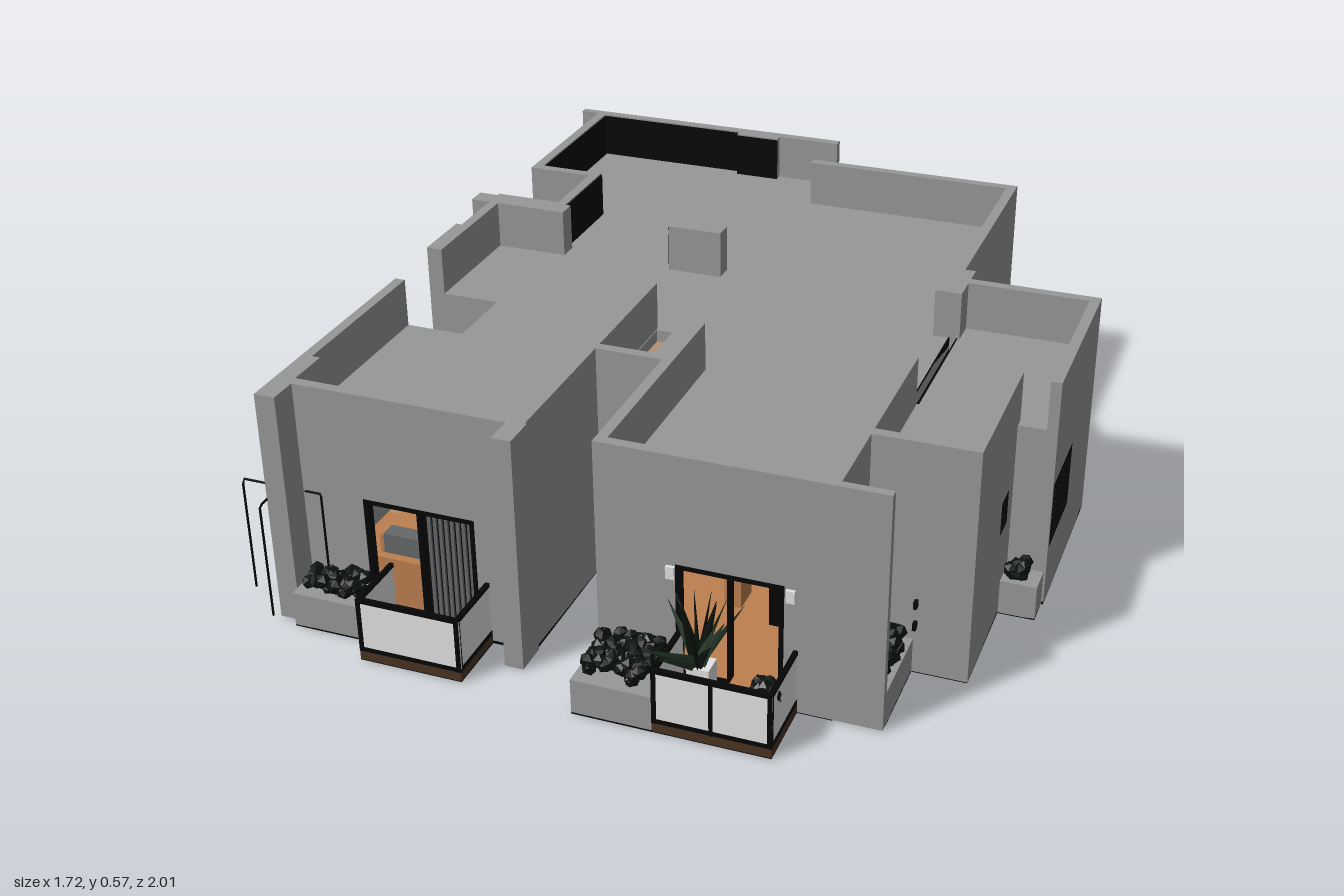
import * as THREE from 'three';

const mat = (name, color, extra = {}) => {
  const m = new THREE.MeshStandardMaterial({ color, ...extra });
  m.name = name;
  return m;
};

export function createModel() {
  const root = new THREE.Group();
  root.name = 'house';
  const grey = mat('greyRender', 0x979998);
  const black = mat('black', 0x060606);
  const wood = mat('warmWood', 0xbd8050);
  const beige = mat('beige', 0xd0ab8a);
  const brown = mat('darkBrown', 0x4a3423);
  const redBrown = mat('redBrown', 0x603a1c);
  const white = mat('offWhite', 0xe4e4e6);
  const green = mat('darkFoliage', 0x0b120d, { flatShading: true });
  const leafGreen = mat('leafGreen', 0x2a3b2c, { flatShading: true });
  const slat = mat('slatGrey', 0x66686a);

  const H = 0.57, ROOF = 0.45, T = 0.025;
  let seed = 7;
  const rnd = () => (seed = (seed * 16807) % 2147483647) / 2147483647;

  const add = (name, geo, m, parent = root) => {
    const mesh = new THREE.Mesh(geo, m);
    mesh.name = name;
    parent.add(mesh);
    return mesh;
  };
  // box given by its limits
  const box = (name, m, x0, x1, y0, y1, z0, z1, parent = root) => {
    const b = add(name, new THREE.BoxGeometry(x1 - x0, y1 - y0, z1 - z0), m, parent);
    b.position.set((x0 + x1) / 2, (y0 + y1) / 2, (z0 + z1) / 2);
    return b;
  };

  // outline corners, each with the wall that starts there: [x, z, height, openings]
  // opening: [from, to, bottom, top, style] measured along world x or z
  const plan = [
    [-0.76, -1, H, [[-0.58, -0.4, 0.15, 0.31, 'blind'], [-0.19, -0.13, 0.23, 0.31, 'small']]],
    [-0.03, -1, ROOF], [-0.03, -0.84, H, [[0.07, 0.39, 0.15, 0.31, 'window']]],
    [0.514, -0.84, H, [[-0.43, -0.27, 0.02, 0.33, 'door']]],
    [0.514, -0.22, H], [0.855, -0.22, H, [[0.03, 0.23, 0.15, 0.31, 'fullBlind']]],
    [0.855, 0.24, ROOF], [0.765, 0.24, H, [[0.29, 0.35, 0.23, 0.31, 'small']]],
    [0.765, 0.595, H], [0.53, 0.595, H, [[0.64, 0.71, 0.15, 0.31, 'small']]],
    [0.53, 0.82, H, [[0.18, 0.42, 0.02, 0.31, 'window']]],
    [0, 0.82, H], [0, 0.43, H, [[-0.145, -0.01, 0.15, 0.31, 'window']]],
    [-0.16, 0.43, H], [-0.16, 0.81, H, [[-0.56, -0.29, 0.02, 0.31, 'blind']]],
    [-0.76, 0.81, H, [[0.42, 0.64, 0.15, 0.31, 'window']]],
    [-0.76, 0.25, ROOF], [-0.59, 0.25, ROOF], [-0.59, 0.06, ROOF],
    [-0.76, 0.06, H], [-0.76, -0.32, H], [-0.59, -0.32, H], [-0.59, -0.52, H],
    [-0.76, -0.52, H, [[-0.84, -0.63, 0.15, 0.31, 'window']]],
  ];

  // frame, mullions and slats in the wall's own axes
  const frame = (parent, u0, u1, y0, y1, style) => {
    const g = new THREE.Group();
    const door = style === 'door';
    g.name = door ? 'entranceDoor' : 'window';
    parent.add(g);
    const m = door ? redBrown : black, w = door ? 0.014 : 0.011;
    box('frameSide', m, u0, u0 + w, y0, y1, -0.001, 0.02, g);
    box('frameSide', m, u1 - w, u1, y0, y1, -0.001, 0.02, g);
    box('frameTop', m, u0, u1, y1 - w, y1, -0.001, 0.02, g);
    box('frameBottom', m, u0, u1, y0, y0 + w, -0.001, 0.02, g);
    const c = (u0 + u1) / 2;
    if (!door && style !== 'small') box('mullion', black, c - 0.005, c + 0.005, y0, y1, 0, 0.016, g);
    if (style === 'blind' || style === 'fullBlind') {
      const end = style === 'blind' ? c : u1;
      box('blindBacking', black, u0 + 0.01, end, y0 + 0.01, y1 - 0.01, 0.019, 0.024, g);
      for (let u = u0 + 0.016; u < end - 0.012; u += 0.014) box('slat', slat, u, u + 0.008, y0 + 0.01, y1 - 0.01, 0.012, 0.018, g);
    }
  };

  // outer walls
  plan.forEach(([x, z, h, openings = []], i) => {
    const n = plan.length, [px, pz] = plan[(i + n - 1) % n], [qx, qz] = plan[(i + 1) % n];
    const dx = qx - x, dz = qz - z, len = Math.hypot(dx, dz);
    const start = (x - px) * dz - (z - pz) * dx < -1e-6 ? -T : 0;
    const s = new THREE.Shape([[start, 0], [len, 0], [len, h], [start, h]].map(p => new THREE.Vector2(...p)));
    const g = new THREE.Group();
    g.name = 'outerWall';
    g.position.set(x, 0, z);
    g.rotation.y = -Math.atan2(dz, dx);
    root.add(g);
    for (const [a, b, y0, y1, style] of openings) {
      const o = Math.abs(dx) > Math.abs(dz) ? x : z;
      const u0 = Math.min(Math.abs(a - o), Math.abs(b - o)), u1 = u0 + b - a;
      s.holes.push(new THREE.Path([[u0, y0], [u0, y1], [u1, y1], [u1, y0]].map(p => new THREE.Vector2(...p))));
      frame(g, u0, u1, y0, y1, style);
    }
    add('wallPanel', new THREE.ExtrudeGeometry(s, { depth: T, bevelEnabled: false }), grey, g);
  });

  // underside and roof slabs cut from the outline
  const slab = (name, m, pts, top, depth, holes) => {
    const s = new THREE.Shape(pts.map(p => new THREE.Vector2(p[0], p[1])));
    for (const [x0, x1, z0, z1] of holes)
      s.holes.push(new THREE.Path([[x0, z0], [x0, z1], [x1, z1], [x1, z0]].map(p => new THREE.Vector2(...p))));
    const geo = new THREE.ExtrudeGeometry(s, { depth, bevelEnabled: false }).rotateX(Math.PI / 2);
    add(name, geo, m).position.y = top;
  };
  const shaft = [-0.158, -0.118, 0.07, 0.22];
  slab('underside', black, plan.filter(p => p[0] !== -0.59), 0.006, 0.008, [shaft]);
  slab('roof', grey, plan, ROOF, 0.03, [shaft, [0.516, 0.532, -0.13, 0.22]]);
  box('thresholdStrip', wood, 0.512, 0.53, -0.003, 0.004, -0.13, 0.22);
  for (const x of [0.513, 0.532]) box('slotLining', black, x, x + 0.003, 0.2, 0.452, -0.13, 0.22);

  // wooden floors
  for (const [x0, x1, z0, z1] of [
    [-0.755, -0.165, -0.99, 0.8], [-0.165, -0.11, -0.99, 0.065], [-0.11, -0.035, -0.99, 0.425],
    [-0.165, -0.11, 0.225, 0.425], [-0.035, 0.005, -0.83, 0.425], [0.005, 0.505, -0.83, 0.815],
    [0.505, 0.845, -0.21, 0.235], [0.505, 0.755, 0.235, 0.585],
  ]) box('woodFloor', wood, x0, x1, 0.006, 0.018, z0, z1);

  // fins, piers and inner parapets
  for (const [x0, x1, y0, z0, z1] of [
    [-0.2, -0.155, 0, 0.8, 0.88], [-0.76, -0.71, 0, 0.8, 0.88], [-0.185, -0.16, ROOF, 0.06, 0.81],
    [0.52, 0.64, 0, 0.8, 0.82], [-0.81, -0.76, 0, -1, -0.98], [-0.81, -0.755, 0, -0.31, -0.26],
    [-0.765, -0.55, ROOF, -0.31, -0.26], [-0.26, -0.12, ROOF, -0.32, -0.27], [0.475, 0.54, ROOF, -0.22, -0.13],
    [0.475, 0.51, ROOF, -0.27, -0.22], [0.505, 0.54, 0, -0.268, -0.22], [0.475, 0.53, ROOF, 0.71, 0.82],
    [0.505, 0.53, ROOF, 0.225, 0.6], [0, 0.025, ROOF, 0.225, 0.45], [-0.32, -0.2, ROOF, -0.99, -0.955],
    [-0.75, -0.715, ROOF, 0.68, 0.8], [-0.775, -0.755, 0, -0.1, 0.06],
  ]) box('pier', grey, x0, x1, y0, H, z0, z1);

  // black waterproofing on the rear parapets
  for (const [x0, x1, z0, z1] of [
    [-0.735, -0.32, -0.976, -0.973], [-0.32, -0.2, -0.956, -0.953], [-0.736, -0.733, -0.97, -0.55],
    [-0.566, -0.563, -0.545, -0.32], [-0.735, -0.563, -0.548, -0.544], [-0.262, -0.259, -0.318, -0.272],
  ]) box('parapetLining', black, x0, x1, ROOF, H - 0.004, z0, z1);

  // rooms behind the openings
  for (const [x0, x1, z0, z1] of [
    [-0.73, -0.2, 0.4, 0.42], [0.03, 0.5, 0.4, 0.42], [-0.73, 0.48, -0.56, -0.54], [-0.3, -0.28, -0.97, -0.55],
    [0.3, 0.32, -0.53, 0.1], [0.58, 0.6, -0.19, 0.56], [-0.56, 0.3, 0.02, 0.04], [0.48, 0.505, 0.24, 0.6],
  ]) box('partition', beige, x0, x1, 0.018, 0.42, z0, z1);
  for (const [x0, x1, h, z0, z1] of [
    [-0.6, -0.25, 0.14, 0.5, 0.69], [-0.58, -0.28, 0.145, 0.76, 0.78], [0.18, 0.22, 0.27, 0.45, 0.52],
    [0.05, 0.4, 0.18, -0.75, -0.58], [-0.68, -0.35, 0.18, -0.9, -0.6], [0.63, 0.78, 0.1, 0, 0.2],
    [-0.06, -0.04, 0.3, 0.3, 0.38], [-0.12, -0.105, 0.3, 0.3, 0.38],
  ]) box('furniture', wood, x0, x1, 0.018, h, z0, z1);
  box('darkCabinet', black, 0.3, 0.365, 0.018, 0.33, 0.5, 0.56);
  box('greySofa', slat, -0.56, -0.46, 0.018, 0.18, 0.7, 0.74);
  box('greenCurtain', leafGreen, 0.508, 0.512, 0.15, 0.31, 0.645, 0.67);
  box('darkCurtain', black, 0.508, 0.512, 0.22, 0.31, 0.672, 0.705);

  // light wells on the right-hand side
  for (const [z0, z1] of [[-0.52, -0.32], [0.06, 0.25]]) {
    box('wellSill', grey, -0.763, -0.75, 0, 0.03, z0, z1);
    box('wellPanel', white, -0.763, -0.759, 0.03, 0.1, z0, z1);
    box('wellRail', black, -0.764, -0.758, 0.1, 0.108, z0, z1);
  }
  box('wellPaving', beige, -0.69, -0.592, 0.018, 0.024, -0.52, -0.47);
  box('wellPaving', beige, -0.755, -0.592, 0.018, 0.024, 0.21, 0.25);
  box('wellUnit', beige, -0.68, -0.592, 0.018, 0.09, 0.11, 0.205);
  box('wellUnitTop', white, -0.645, -0.595, 0.09, 0.1, 0.18, 0.205);

  // planters with shrubs
  const shrub = (x0, x1, z0, z1, y) => {
    const g = new THREE.Group();
    g.name = 'shrub';
    root.add(g);
    const count = Math.ceil((x1 - x0) * (z1 - z0) * 4500) + 12;
    for (let i = 0; i < count; i++) {
      const leaf = add('leafClump', new THREE.IcosahedronGeometry(0.018, 0), green, g);
      leaf.position.set(x0 + rnd() * (x1 - x0), y + rnd() * 0.03, z0 + rnd() * (z1 - z0));
      leaf.rotation.set(rnd() * 6, rnd() * 6, 0);
    }
  };
  for (const [x0, x1, z0, z1] of [[-0.71, -0.505, 0.81, 0.9], [0.005, 0.19, 0.82, 0.985], [0.53, 0.64, 0.59, 0.8], [0.76, 0.85, 0.24, 0.31]]) {
    box('planter', grey, x0, x1, 0, 0.085, z0, z1);
    box('planterUnderside', black, x0, x1, -0.002, 0.002, z0, z1);
  }
  shrub(-0.675, -0.55, 0.825, 0.885, 0.095);
  shrub(0.025, 0.16, 0.84, 0.965, 0.095);
  shrub(0.555, 0.625, 0.615, 0.765, 0.095);
  shrub(0.78, 0.815, 0.26, 0.29, 0.095);
  shrub(0.395, 0.44, 0.9, 0.95, 0.1);

  // balconies
  const balcony = (x0, x1, z0, z1, floor) => {
    const g = new THREE.Group();
    g.name = 'balcony';
    root.add(g);
    box('balconyBase', brown, x0, x1, 0, 0.022, z0, z1, g);
    box('balconyUnderside', black, x0, x1, -0.002, 0.002, z0, z1, g);
    box('balconyFloor', floor, x0 + 0.01, x1 - 0.01, 0.02, 0.026, z0, z1 - 0.01, g);
    box('frontPanel', white, x0, x1, 0.03, 0.15, z1 - 0.008, z1 - 0.002, g);
    for (const y of [0.022, 0.147]) box('frontRail', black, x0, x1, y, y + 0.01, z1 - 0.011, z1, g);
    for (const x of [x0, x1 - 0.01]) {
      box('sidePanel', white, x + 0.002, x + 0.008, 0.03, 0.15, z0, z1 - 0.01, g);
      for (const y of [0.022, 0.147]) box('sideRail', black, x, x + 0.01, y, y + 0.01, z0, z1, g);
      box('cornerPost', black, x, x + 0.01, 0.022, 0.157, z1 - 0.011, z1 + 0.001, g);
    }
    return g;
  };
  balcony(-0.508, -0.262, 0.81, 0.965, brown);
  const right = balcony(0.188, 0.452, 0.82, 0.985, beige);
  box('middlePost', black, 0.315, 0.323, 0.022, 0.157, 0.975, 0.987, right);
  box('woodStrip', wood, 0.34, 0.44, 0.024, 0.029, 0.82, 0.86, right);
  box('rug', white, 0.2, 0.3, 0.024, 0.029, 0.87, 0.97, right);
  box('table', wood, 0.33, 0.39, 0.09, 0.1, 0.87, 0.92, right);
  box('tableLeg', black, 0.355, 0.365, 0.02, 0.09, 0.89, 0.9, right);
  for (const z of [0.835, 0.945]) {
    box('seat', white, 0.33, 0.38, 0.05, 0.06, z - 0.015, z + 0.015, right);
    box('seatFrame', black, 0.325, 0.385, 0.02, 0.05, z - 0.004, z + 0.004, right);
  }
  box('plantPot', white, 0.235, 0.285, 0.02, 0.12, 0.855, 0.905, right);

  // spiky plant on the balcony
  for (let i = 0; i < 16; i++) {
    const tilt = 0.25 + (i % 4) * 0.25;
    const geo = new THREE.ConeGeometry(0.018, 0.16, 4).translate(0, 0.08, 0).scale(1, 1, 0.4);
    const blade = add('spikyLeaf', geo, i % 2 ? leafGreen : green);
    blade.position.set(0.255, 0.12, 0.885);
    blade.rotation.set(0, i * 2.4, tilt, 'YXZ');
  }

  // potted plant inside the entrance
  add('entrancePot', new THREE.CylinderGeometry(0.03, 0.024, 0.05, 10), slat).position.set(0.45, 0.045, -0.365);
  for (let i = 0; i < 70; i++)
    add('entranceLeaf', new THREE.IcosahedronGeometry(0.022, 0), green)
      .position.set(0.43 + rnd() * 0.04, 0.075 + i * 0.0032, -0.402 + rnd() * 0.08);

  // bent rods at the front corner
  const rod = (...pts) => {
    const path = new THREE.CurvePath();
    const v = pts.map(p => new THREE.Vector3(...p));
    for (let i = 1; i < v.length; i++) path.add(new THREE.LineCurve3(v[i - 1], v[i]));
    add('rod', new THREE.TubeGeometry(path, 24, 0.0028, 5), black);
  };
  rod([-0.71, 0.308, 0.82], [-0.86, 0.308, 0.82], [-0.86, 0.02, 0.82]);
  rod([-0.76, 0.308, 0.8], [-0.76, 0.308, 0.91], [-0.76, 0.02, 0.91]);
  rod([-0.7, 0.308, 0.82], [-0.66, 0.308, 0.82], [-0.66, 0.12, 0.82]);

  // small fittings on the walls
  box('outdoorUnit', white, -0.81, -0.762, 0.02, 0.09, 0.72, 0.772);
  box('outdoorUnitFront', beige, -0.81, -0.762, 0.02, 0.09, 0.772, 0.776);
  add('outdoorUnitCap', new THREE.CylinderGeometry(0.01, 0.01, 0.035, 10), white).position.set(-0.785, 0.105, 0.748);
  box('utilityBox', redBrown, -0.81, -0.762, 0.02, 0.09, -0.975, -0.92);
  for (const [z0, z1] of [[-0.84, -0.63], [0.42, 0.64]]) box('windowSill', wood, -0.769, -0.755, 0.142, 0.15, z0, z1);
  for (const x of [0.17, 0.435]) box('wallLamp', white, x - 0.01, x + 0.01, 0.275, 0.305, 0.82, 0.828);
  for (const y of [0.115, 0.17]) box('wallSocket', black, 0.64, 0.648, y, y + 0.018, 0.59, 0.61);
  return root;
}
